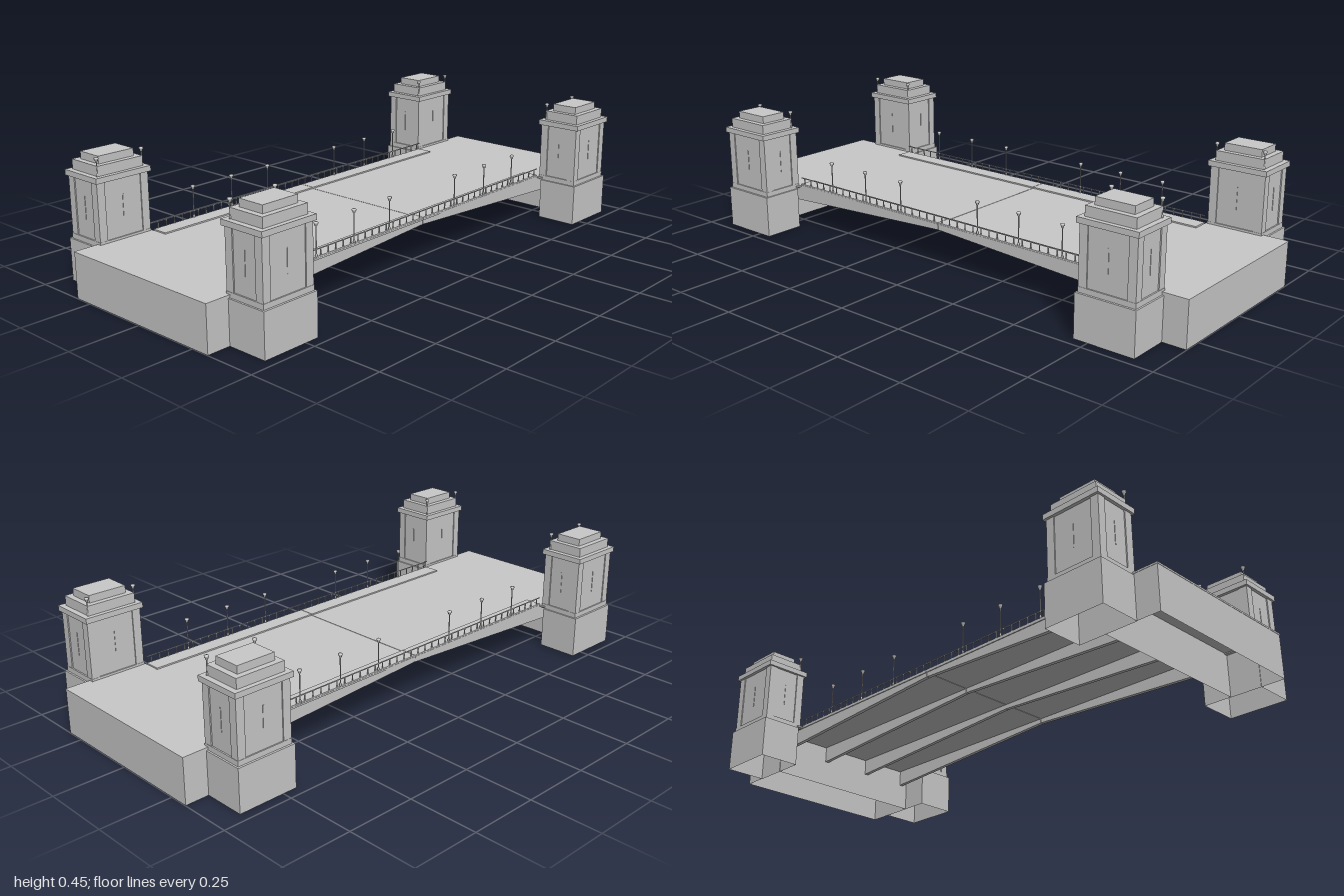
import * as THREE from 'three';

const stone = new THREE.MeshStandardMaterial({ color: 0xc8c8c8, side: THREE.DoubleSide });
stone.name = 'pale grey';

// Box given by its min and max on each axis
function box(parent, name, x0, x1, y0, y1, z0, z1) {
  const mesh = new THREE.Mesh(new THREE.BoxGeometry(x1 - x0, y1 - y0, z1 - z0), stone);
  mesh.position.set((x0 + x1) / 2, (y0 + y1) / 2, (z0 + z1) / 2);
  mesh.name = name;
  parent.add(mesh);
  return mesh;
}

// Hollow box: the same, without its bottom face
function openBox(...args) {
  const { geometry } = box(...args);
  geometry.setIndex([...geometry.index.array].filter((_, i) => i < 18 || i >= 24));
  geometry.clearGroups();
}

// Thin post with a small capped lantern
function lamp(parent, name, x, y, z, height) {
  const profile = [[0, 0], [0.004, 0], [0.004, 0.008], [0.002, 0.012], [0.002, height - 0.016],
    [0.0045, height - 0.014], [0.0055, height - 0.008], [0.0075, height - 0.007],
    [0.0075, height - 0.002], [0, height]];
  const mesh = new THREE.Mesh(
    new THREE.LatheGeometry(profile.map(([r, h]) => new THREE.Vector2(r, h)), 8), stone);
  mesh.position.set(x, y, z);
  mesh.name = name;
  parent.add(mesh);
}

// Tower standing at a corner of the bridge
function tower(sx, sz) {
  const g = new THREE.Group();
  g.name = 'tower';
  const cx = 0.807 * sx, cz = 0.38 * sz;
  const tier = (name, w, d, y0, y1) =>
    box(g, name, cx - w / 2, cx + w / 2, y0, y1, cz - d / 2, cz + d / 2);
  openBox(g, 'towerBase', cx - 0.108, cx + 0.108, 0, 0.15, sz * 0.39 - 0.075, sz * 0.39 + 0.075);
  tier('towerShaft', 0.194, 0.146, 0.15, 0.367);
  tier('shaftPlinth', 0.204, 0.155, 0.15, 0.168);
  tier('cornice', 0.216, 0.17, 0.367, 0.386);
  tier('upperStep', 0.178, 0.137, 0.386, 0.42);
  tier('cap', 0.138, 0.097, 0.42, 0.446);
  for (const a of [-1, 1]) {
    // Corner pilasters frame the sunken panels
    for (const b of [-1, 1]) {
      const px = cx + a * 0.086, pz = cz + b * 0.0615;
      box(g, 'pilaster', px - 0.015, px + 0.015, 0.15, 0.367, pz - 0.015, pz + 0.015);
    }
    // Narrow slit windows
    const wx = cx + a * 0.097, wz = cz + a * 0.073;
    box(g, 'slitWindow', wx - 0.0015, wx + 0.0015, 0.23, 0.31, cz - 0.002, cz + 0.002);
    box(g, 'slitWindow', cx - 0.002, cx + 0.002, 0.23, 0.31, wz - 0.0015, wz + 0.0015);
    lamp(g, 'towerLamp', cx + a * 0.088, 0.386, sz * 0.315, 0.064);
  }
  return g;
}

// Hollow abutment under a thin approach slab
function abutment(s) {
  const g = new THREE.Group();
  g.name = 'abutment';
  const span = (make, name, a, b, y0, y1, z0, z1) =>
    make(g, name, Math.min(a * s, b * s), Math.max(a * s, b * s), y0, y1, z0, z1);
  span(openBox, 'abutmentShell', 0.8, 0.999, 0, 0.154, -0.317, 0.317);
  span(box, 'approachSlab', 0.7, 1, 0.154, 0.16, -0.318, 0.318);
  return g;
}

// Hinged half of the span, tapering towards the middle
function leaf(s) {
  const g = new THREE.Group();
  g.name = 'leaf';
  const x0 = s > 0 ? 0.001 : -0.7, x1 = s > 0 ? 0.7 : -0.001;
  box(g, 'roadDeck', x0, x1, 0.154, 0.16, -0.296, 0.296);

  // Four girders running back into the abutment
  const shape = new THREE.Shape([[0.001, 0.138], [0.7, 0.1], [0.798, 0.095], [0.798, 0.154], [0.001, 0.154]]
    .map(([x, y]) => new THREE.Vector2(x * s, y)));
  const web = new THREE.ExtrudeGeometry(shape, { depth: 0.014, bevelEnabled: false });
  for (const z of [-0.286, -0.1, 0.1, 0.286]) {
    const girder = new THREE.Mesh(web, stone);
    girder.position.z = z - 0.007;
    girder.name = 'girder';
    g.add(girder);
  }

  for (const sz of [-1, 1]) {
    // Raised footway, railing and lamp posts
    const z = sz * 0.293;
    box(g, 'footway', x0, x1, 0.16, 0.165, sz * 0.265 - 0.03, sz * 0.265 + 0.03);
    box(g, 'topRail', x0, x1, 0.187, 0.19, z - 0.0015, z + 0.0015);
    for (let i = 0; i < 20; i++) {
      const x = s * (0.0175 + i * 0.035);
      box(g, 'railPost', x - 0.0015, x + 0.0015, 0.165, 0.188, z - 0.0015, z + 0.0015);
    }
    for (const x of [0.177, 0.352, 0.527]) lamp(g, 'deckLamp', x * s, 0.164, z, 0.117);
  }
  return g;
}

export function createModel() {
  const model = new THREE.Group();
  model.name = 'bridge';
  for (const sx of [-1, 1]) {
    model.add(abutment(sx), leaf(sx));
    for (const sz of [-1, 1]) model.add(tower(sx, sz));
  }
  return model;
}
